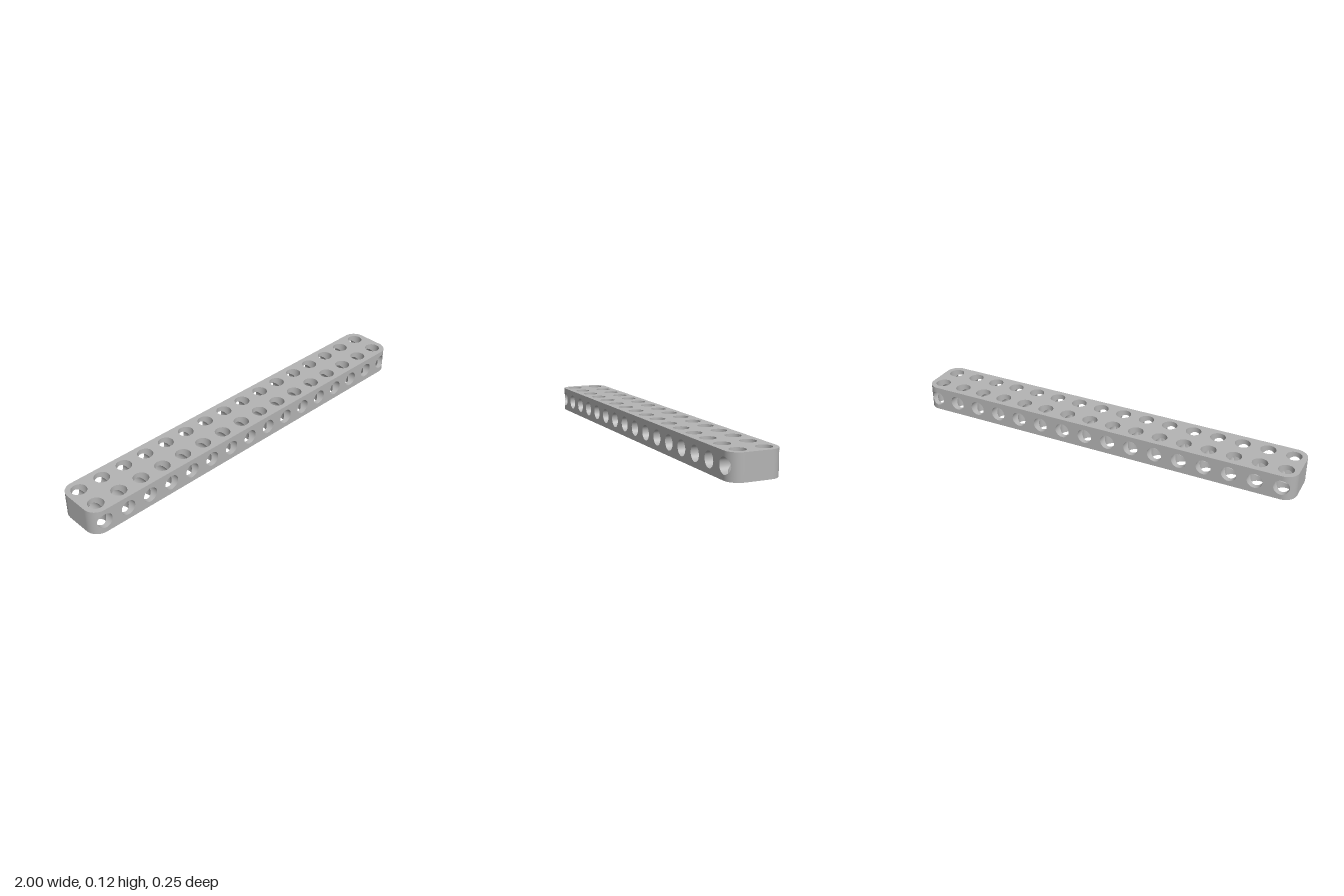
import * as THREE from 'three';
import { mergeGeometries } from 'three/addons/utils/BufferGeometryUtils.js';
import { ParametricGeometry } from 'three/addons/geometries/ParametricGeometry.js';

const R = 0.0625;    // half the hole pitch, also the corner radius
const r = 0.0375;    // hole radius
const COLUMNS = 16;
const SEG = 64;

const columns = Array.from({ length: COLUMNS }, (_, i) => ({
  x0: (2 * i + 1) * R - 1,
  end: i === 0 ? -1 : i === COLUMNS - 1 ? 1 : 0, // which rounded end it sits on
}));
const lerp = THREE.MathUtils.lerp;

// Flat face: rounded rectangle pierced by two rows of holes
function plateGeometry() {
  const s = new THREE.Shape();
  s.absarc(1 - R, R, R, 0, Math.PI / 2);
  s.absarc(R - 1, R, R, Math.PI / 2, Math.PI);
  s.absarc(R - 1, -R, R, Math.PI, Math.PI * 1.5);
  s.absarc(1 - R, -R, R, Math.PI * 1.5, Math.PI * 2);
  for (const { x0 } of columns) {
    for (const z0 of [-R, R]) {
      s.holes.push(new THREE.Path().absarc(x0, z0, r, 0, Math.PI * 2, true));
    }
  }
  return new THREE.ShapeGeometry(s, SEG / 2);
}

// One cell of the long side wall, from the hole rim out to the cell border;
// the outer half of an end cell wraps round the corner
function wallCell({ x0, end }, side) {
  return new ParametricGeometry((u, v, p) => {
    const a = -side * u * Math.PI * 2;
    const c = Math.cos(a), s = Math.sin(a);
    const m = Math.max(Math.abs(c), Math.abs(s));
    const y = R + lerp(r * s, R * s / m, v);
    if (end * c > 0) {
      const phi = lerp(Math.asin(r * c / R), (Math.PI / 2) * c / m, v);
      p.set(x0 + R * Math.sin(phi), y, side * (R + R * Math.cos(phi)));
    } else {
      p.set(x0 + lerp(r * c, R * c / m, v), y, side * 2 * R);
    }
  }, SEG, end ? 6 : 1);
}

// Bore wall along y, between two heights that depend on the angle
function verticalBore(x0, z0, from, to) {
  return new ParametricGeometry((u, v, p) => {
    const a = u * Math.PI * 2;
    const c = Math.cos(a), s = Math.sin(a);
    p.set(x0 + r * c, lerp(from(s), to(s), v), z0 + r * s);
  }, SEG, 1);
}

// Bore wall along z, between two depths that depend on the angle
function crossBore(x0, from, to) {
  return new ParametricGeometry((u, v, p) => {
    const a = -u * Math.PI * 2;
    const c = Math.cos(a), s = Math.sin(a);
    p.set(x0 + r * c, R + r * s, lerp(from(c, s), to(c, s), v));
  }, SEG, 1);
}

export function createModel() {
  const group = new THREE.Group();
  group.name = 'perforatedBeam';
  const grey = new THREE.MeshStandardMaterial({ color: 0xb4b4b4 });
  grey.name = 'grey';
  const add = (name, geometry) => {
    const mesh = new THREE.Mesh(geometry, grey);
    mesh.name = name;
    group.add(mesh);
  };

  // Top and bottom faces
  add('topFace', plateGeometry().rotateX(-Math.PI / 2).translate(0, 2 * R, 0));
  add('bottomFace', plateGeometry().rotateX(Math.PI / 2));

  // Long walls with their rounded corners, and flat ends
  add('frontWall', mergeGeometries(columns.map((col) => wallCell(col, 1))));
  add('backWall', mergeGeometries(columns.map((col) => wallCell(col, -1))));
  for (const [name, sx] of [['leftEnd', 1], ['rightEnd', -1]]) {
    add(name, new THREE.PlaneGeometry(2 * R, 2 * R)
      .rotateY(sx * Math.PI / 2).translate(sx, R, 0));
  }

  // Bores, trimmed where the two directions cross
  const vertical = [], cross = [];
  for (const { x0, end } of columns) {
    for (const z0 of [-R, R]) {
      vertical.push(
        verticalBore(x0, z0, () => 0, (s) => R - r * Math.abs(s)),
        verticalBore(x0, z0, (s) => R + r * Math.abs(s), () => 2 * R));
    }
    const outer = (c) => (end * c > 0 ? R + Math.sqrt(R * R - r * r * c * c) : 2 * R);
    const far = (c, s) => R + r * Math.abs(s);
    const near = (c, s) => R - r * Math.abs(s);
    cross.push(
      crossBore(x0, far, outer),
      crossBore(x0, (c, s) => -near(c, s), near),
      crossBore(x0, (c) => -outer(c), (c, s) => -far(c, s)));
  }
  add('verticalBores', mergeGeometries(vertical));
  add('crossBores', mergeGeometries(cross));

  return group;
}
